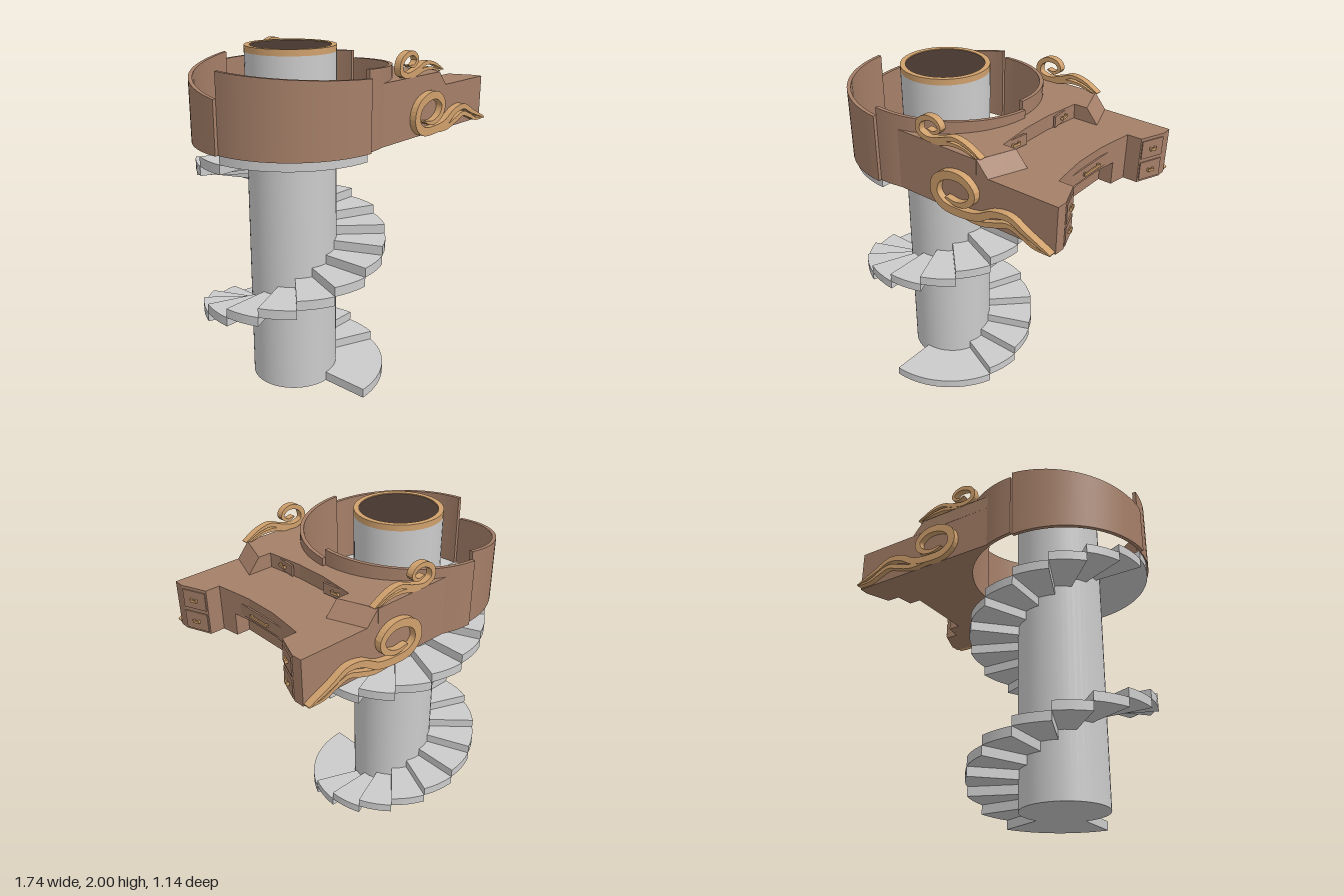
import * as THREE from 'three';

const CX = -0.305;                 // column axis
const DEG = Math.PI / 180;
const grey = new THREE.MeshStandardMaterial({ color: 0xcccccc });
const brown = new THREE.MeshStandardMaterial({ color: 0xa57f68 });
const tan = new THREE.MeshStandardMaterial({ color: 0xcfa06c });
const dark = new THREE.MeshStandardMaterial({ color: 0x45362f });

function add(parent, name, geometry, material, x = 0, y = 0, z = 0) {
  const mesh = new THREE.Mesh(geometry, material);
  mesh.name = name;
  mesh.position.set(x, y, z);
  parent.add(mesh);
  return mesh;
}

// Box whose vertices are moved by a rule; u, v, w run 0..1 along x, y, z
function mapBox(segments, rule) {
  const g = new THREE.BoxGeometry(1, 1, 1, segments, 1, 1);
  const p = g.attributes.position;
  for (let i = 0; i < p.count; i++) {
    p.setXYZ(i, ...rule(p.getX(i) + 0.5, p.getY(i) + 0.5, p.getZ(i) + 0.5));
  }
  g.computeVertexNormals();
  return g;
}

// Curved block running clockwise (seen with z down) from angle a0 over a span in degrees
function arcBlock(a0, span, y0, yTop, inner, outer, segments) {
  return mapBox(segments, (u, v, w) => {
    const a = (a0 - u * span) * DEG;
    const r = inner(u) + (outer(u) - inner(u)) * w;
    return [CX + Math.cos(a) * r, y0 + (yTop(u) - y0) * v, Math.sin(a) * r];
  });
}

// Horizontal slab from a plan outline in x and z
function slab(shape, y0, y1) {
  const g = new THREE.ExtrudeGeometry(shape, { depth: y1 - y0, bevelEnabled: false, curveSegments: 32 });
  g.rotateX(Math.PI / 2);
  g.translate(0, y1, 0);
  return g;
}

// Desk plan: ring arc at the back, then half outline [x, z] mirrored across z = 0
function deskPlan(half) {
  const a = Math.asin(0.535 / 0.55);
  const s = new THREE.Shape();
  s.moveTo(CX + Math.cos(a) * 0.55, 0.535);
  s.absarc(CX, 0, 0.55, a, -a, true);
  half.forEach(([x, z]) => s.lineTo(x, -z));
  [...half].reverse().forEach(([x, z]) => s.lineTo(x, z));
  return s;
}

// Flat ribbon along a smooth path, tapered towards both ends
function ribbon(points, width, depth) {
  const curve = new THREE.CatmullRomCurve3(points.map(([x, y]) => new THREE.Vector3(x, y, 0)));
  const left = [], right = [], n = 70;
  for (let i = 0; i <= n; i++) {
    const t = i / n, p = curve.getPointAt(t), d = curve.getTangentAt(t);
    const h = 0.5 * width * (0.15 + 0.85 * Math.pow(Math.sin(Math.PI * Math.pow(t, 0.8)), 0.7));
    left.push(new THREE.Vector2(p.x - d.y * h, p.y + d.x * h));
    right.push(new THREE.Vector2(p.x + d.y * h, p.y - d.x * h));
  }
  const g = new THREE.ExtrudeGeometry(new THREE.Shape([...left, ...right.reverse()]), { depth, bevelEnabled: false });
  g.translate(0, 0, -depth / 2);
  return g;
}

function drawer(parent, x, y, z, width, height, turn, handleWidth) {
  const group = new THREE.Group();
  group.name = 'drawer';
  group.position.set(x, y, z);
  group.rotation.y = turn;
  add(group, 'drawerFront', new THREE.BoxGeometry(0.012, height, width), brown);
  add(group, 'drawerHandle', new THREE.BoxGeometry(0.008, 0.014, handleWidth), tan, 0.018);
  for (const s of [-1, 1]) {
    add(group, 'handlePost', new THREE.BoxGeometry(0.016, 0.018, 0.01), tan, 0.012, 0, s * handleWidth * 0.42);
  }
  parent.add(group);
}

export function createModel() {
  const model = new THREE.Group();

  // Column with rimmed cap
  add(model, 'column', new THREE.CylinderGeometry(0.255, 0.255, 1.965, 48), grey, CX, 0.9825);
  const rim = [[0.225, 1.965], [0.255, 1.965], [0.255, 2], [0.225, 2], [0.225, 1.965]];
  // each profile edge is turned on its own to keep the rim corners sharp
  for (let i = 0; i < 4; i++) {
    const edge = [rim[i], rim[i + 1]].map(([r, y]) => new THREE.Vector2(r, y));
    add(model, 'capRim', new THREE.LatheGeometry(edge, 48), tan, CX);
  }
  add(model, 'capInside', new THREE.CylinderGeometry(0.226, 0.226, 0.03, 48), dark, CX, 1.98);

  // Spiral stairs, with a wide first step and a quarter-circle landing
  const stairs = new THREE.Group();
  stairs.name = 'spiralStairs';
  model.add(stairs);
  const rise = 0.055;
  for (let k = 0; k <= 26; k++) {
    const a0 = k === 0 ? 90 : 22.5 * (2 - k);
    const span = k === 0 ? 67.5 : k === 26 ? 90 : 22.5;
    const start = k === 26 ? 180 : a0;
    add(stairs, k === 26 ? 'landing' : 'step',
      arcBlock(start, span, k * rise, () => (k + 1) * rise, () => 0.24, () => 0.545, Math.round(span / 5.6)), grey);
  }

  // Four overlapping curved walls, each falling and widening along its run
  for (const [a0, endHeight] of [[180, 1.87], [90, 1.87], [0, 1.87], [-90, 1.775]]) {
    add(model, 'curvedWall',
      arcBlock(a0, 90, 1.48, u => 1.915 + (endHeight - 1.915) * u,
        u => 0.528 + 0.02 * u, u => 0.55 + 0.02 * u, 20), brown);
  }

  // Desk body: base with knee space, middle layer, raised back shelf
  const desk = new THREE.Group();
  desk.name = 'desk';
  model.add(desk);
  const pod = [[0.855, 0.53], [0.857, 0.47], [0.8, 0.325], [0.715, 0.325]];
  add(desk, 'deskBase', slab(deskPlan([...pod, [0.7, 0.22], [0.62, 0.22]]), 1.48, 1.61), brown);
  add(desk, 'deskTop', slab(deskPlan([...pod, [0.7, 0.22], [0.685, 0.1]]), 1.61, 1.742), brown);
  add(desk, 'backShelf', slab(deskPlan([[0.37, 0.535], [0.45, 0.32], [0.37, 0.32], [0.345, 0.1]]), 1.742, 1.825), brown);

  for (const s of [-1, 1]) {
    // Sloped step from shelf down to the side cabinet
    add(desk, 'shelfSlope', mapBox(1, (u, v, w) => {
      const outer = s > 0 ? w : 1 - w;
      const x = 0.45 - 0.08 * outer;
      return [x + u * (1 - v) * 0.075, 1.74 + 0.085 * v, s * (0.32 + 0.213 * outer)];
    }), brown);

    // Drawers of the side cabinets and of the back shelf
    for (const y of [1.545, 1.672]) drawer(desk, 0.829, y, s * 0.398, 0.14, 0.105, s * 0.375, 0.035);
    drawer(desk, 0.359, 1.784, s * 0.215, 0.175, 0.062, s * -0.113, 0.05);

    // Scrolls on the sides and on the shelf edge
    const z = s * 0.551;
    add(desk, 'sideScroll', ribbon([[0.19, 1.565], [0.27, 1.55], [0.35, 1.585], [0.37, 1.645], [0.31, 1.7],
      [0.21, 1.7], [0.13, 1.65], [0.115, 1.57], [0.17, 1.515], [0.28, 1.505], [0.4, 1.525], [0.5, 1.58],
      [0.6, 1.595], [0.7, 1.55], [0.85, 1.49]], 0.05, 0.042), tan, 0, 0, z);
    add(desk, 'sideLeaf', ribbon([[0.25, 1.495], [0.42, 1.495], [0.52, 1.525], [0.6, 1.55], [0.68, 1.525],
      [0.75, 1.495], [0.85, 1.488]], 0.03, 0.034), tan, 0, 0, z);
    add(desk, 'topScroll', ribbon([[0.05, 1.895], [0.1, 1.885], [0.135, 1.915], [0.11, 1.95], [0.05, 1.955],
      [-0.005, 1.92], [-0.01, 1.865], [0.05, 1.84], [0.14, 1.86], [0.22, 1.89], [0.3, 1.88], [0.4, 1.835]],
      0.03, 0.04), tan, 0, 0, s * 0.52);
    add(desk, 'topLeaf', ribbon([[0.02, 1.83], [0.12, 1.835], [0.2, 1.855], [0.28, 1.855], [0.37, 1.83]],
      0.02, 0.034), tan, 0, 0, s * 0.52);
  }

  // Wide middle drawer above the knee space
  drawer(desk, 0.688, 1.66, 0, 0.4, 0.065, 0, 0.15);

  return model;
}
